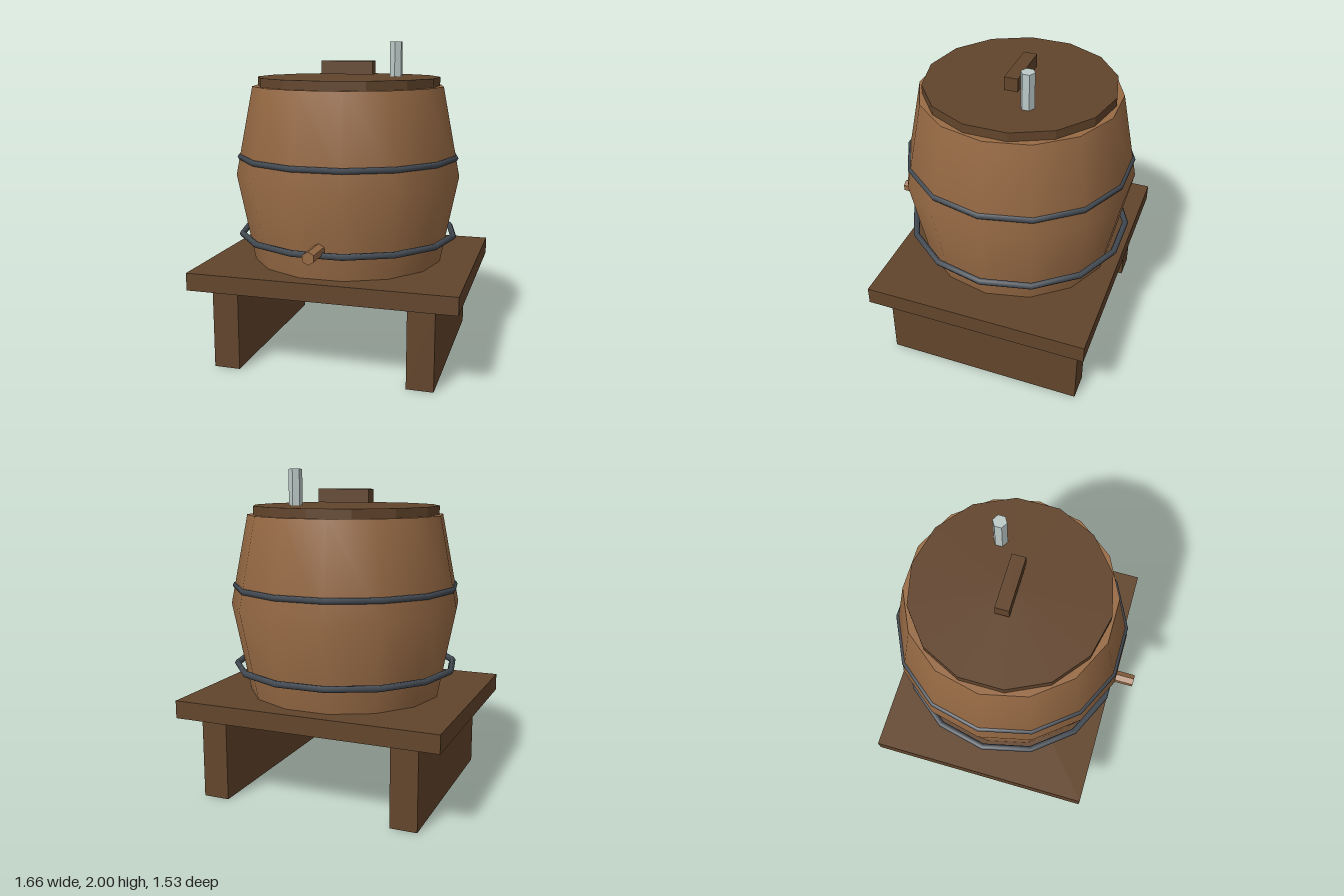
import * as THREE from 'three';

const SIDES = 14;
const CENTRE_Z = -0.065;

function material(name, color, flatShading = false) {
  const m = new THREE.MeshStandardMaterial({ color, flatShading });
  m.name = name;
  return m;
}

export function createModel() {
  const darkWood = material('dark wood', 0x62452c);
  const barrelWood = material('barrel wood', 0x986b45);
  const iron = material('dark iron', 0x434a52);
  const steel = material('pale steel', 0xbccac8);

  const model = new THREE.Group();
  model.name = 'barrelOnStand';

  function add(name, geometry, mat, x, y, z) {
    const mesh = new THREE.Mesh(geometry, mat);
    mesh.name = name;
    mesh.position.set(x, y, z);
    model.add(mesh);
    return mesh;
  }

  // Stand: a plank top on two slab legs
  add('standTop', new THREE.BoxGeometry(1.665, 0.11, 1.39), darkWood, 0, 0.56, CENTRE_Z);
  for (const side of [-1, 1]) {
    add(side > 0 ? 'leftLeg' : 'rightLeg',
      new THREE.BoxGeometry(0.165, 0.505, 1.25), darkWood, side * 0.609, 0.2525, CENTRE_Z);
  }

  // Barrel body: bulging smooth wall, corners on the x axis
  const profile = [[0.61, 0.615], [0.72, 1.17], [0.61, 1.725]].map(([r, y]) => new THREE.Vector2(r, y));
  add('barrelWall', new THREE.LatheGeometry(profile, SIDES, Math.PI / 2), barrelWood, 0, 0, CENTRE_Z);
  const rim = add('barrelTop', new THREE.CircleGeometry(0.61, SIDES), barrelWood, 0, 1.725, CENTRE_Z);
  rim.rotation.x = -Math.PI / 2;

  // Iron hoops
  for (const [name, y] of [['lowerHoop', 0.785], ['upperHoop', 1.285]]) {
    const hoop = add(name, new THREE.TorusGeometry(0.692, 0.02, 6, SIDES), iron, 0, y, CENTRE_Z);
    hoop.rotation.x = Math.PI / 2;
  }

  // Lid with its raised handle
  const lidWood = material('dark wood', 0x62452c, true);
  lidWood.name = 'lid wood';
  add('lid', new THREE.CylinderGeometry(0.58, 0.58, 0.06, SIDES), lidWood, 0, 1.75, CENTRE_Z);
  add('lidHandle', new THREE.BoxGeometry(0.333, 0.083, 0.083), darkWood, 0, 1.838, CENTRE_Z);

  // Vent pipe on the lid
  steel.flatShading = true;
  add('ventPipe', new THREE.CylinderGeometry(0.042, 0.042, 0.25, 6), steel, 0.277, 1.875, -0.205);

  // Tap at the front
  const tapWood = material('tap wood', 0x986b45, true);
  const tap = add('tap', new THREE.CylinderGeometry(0.039, 0.039, 0.27, 6), tapWood, 0, 0.808, 0.63);
  tap.rotation.x = Math.PI / 2;

  return model;
}
